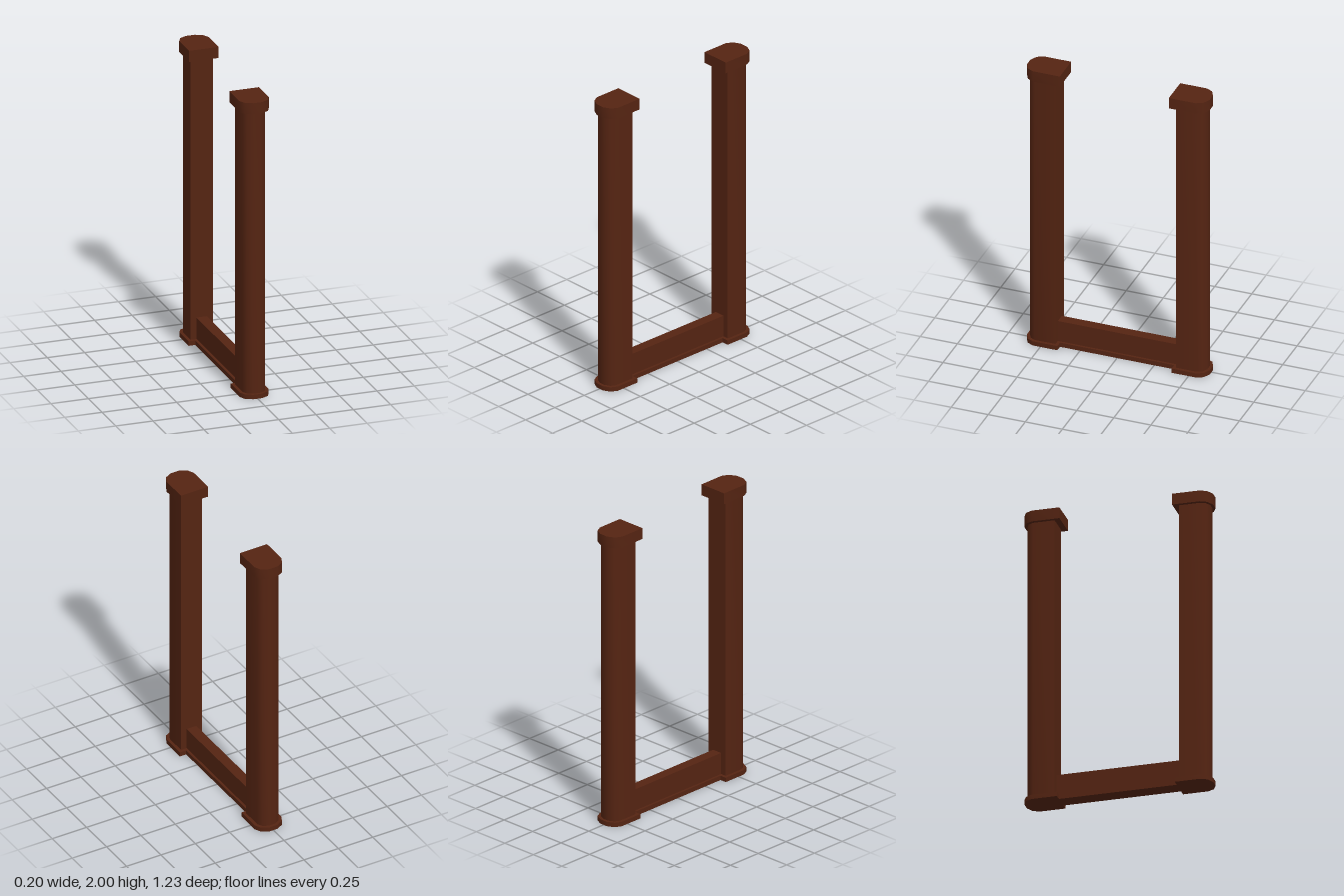
import * as THREE from 'three';
import { toCreasedNormals } from 'three/addons/utils/BufferGeometryUtils.js';

const material = new THREE.MeshStandardMaterial({ color: 0x552412 });

// Upright slab with a square inner end and a rounded outer end towards +z
function roundedSlab(name, halfWidth, zIn, zOut, y0, y1) {
  const w = halfWidth, r = w * 0.68;
  const half = [[w, zIn], [w, zOut - r], [w * 0.78, zOut - r * 0.36], [w * 0.3, zOut]];
  const outline = [...half, ...half.map(([x, z]) => [-x, z]).reverse()];
  const shape = new THREE.Shape(outline.map(([x, z]) => new THREE.Vector2(x, -z)));
  const geometry = new THREE.ExtrudeGeometry(shape, { depth: y1 - y0, bevelEnabled: false });
  geometry.rotateX(-Math.PI / 2).translate(0, y0, 0);
  const mesh = new THREE.Mesh(toCreasedNormals(geometry, 0.8), material);
  mesh.name = name;
  return mesh;
}

function beam(name, width, y0, y1, length) {
  const mesh = new THREE.Mesh(new THREE.BoxGeometry(width, y1 - y0, length), material);
  mesh.position.y = (y0 + y1) / 2;
  mesh.name = name;
  return mesh;
}

export function createModel() {
  const model = new THREE.Group();
  model.name = 'doorFrame';

  // Two identical posts, rounded sides facing outwards
  for (const [name, angle] of [['frontPost', 0], ['backPost', Math.PI]]) {
    const post = new THREE.Group();
    post.name = name;
    post.add(
      roundedSlab('basePlate', 0.097, 0.385, 0.617, 0, 0.03),
      roundedSlab('shaft', 0.076, 0.406, 0.598, 0.03, 1.925),
      roundedSlab('cap', 0.099, 0.368, 0.616, 1.925, 2)
    );
    post.rotation.y = angle;
    model.add(post);
  }

  // Low rail joining the posts, on a slightly wider sill
  model.add(beam('sill', 0.102, 0, 0.03, 0.77), beam('rail', 0.07, 0.03, 0.175, 0.812));
  return model;
}
